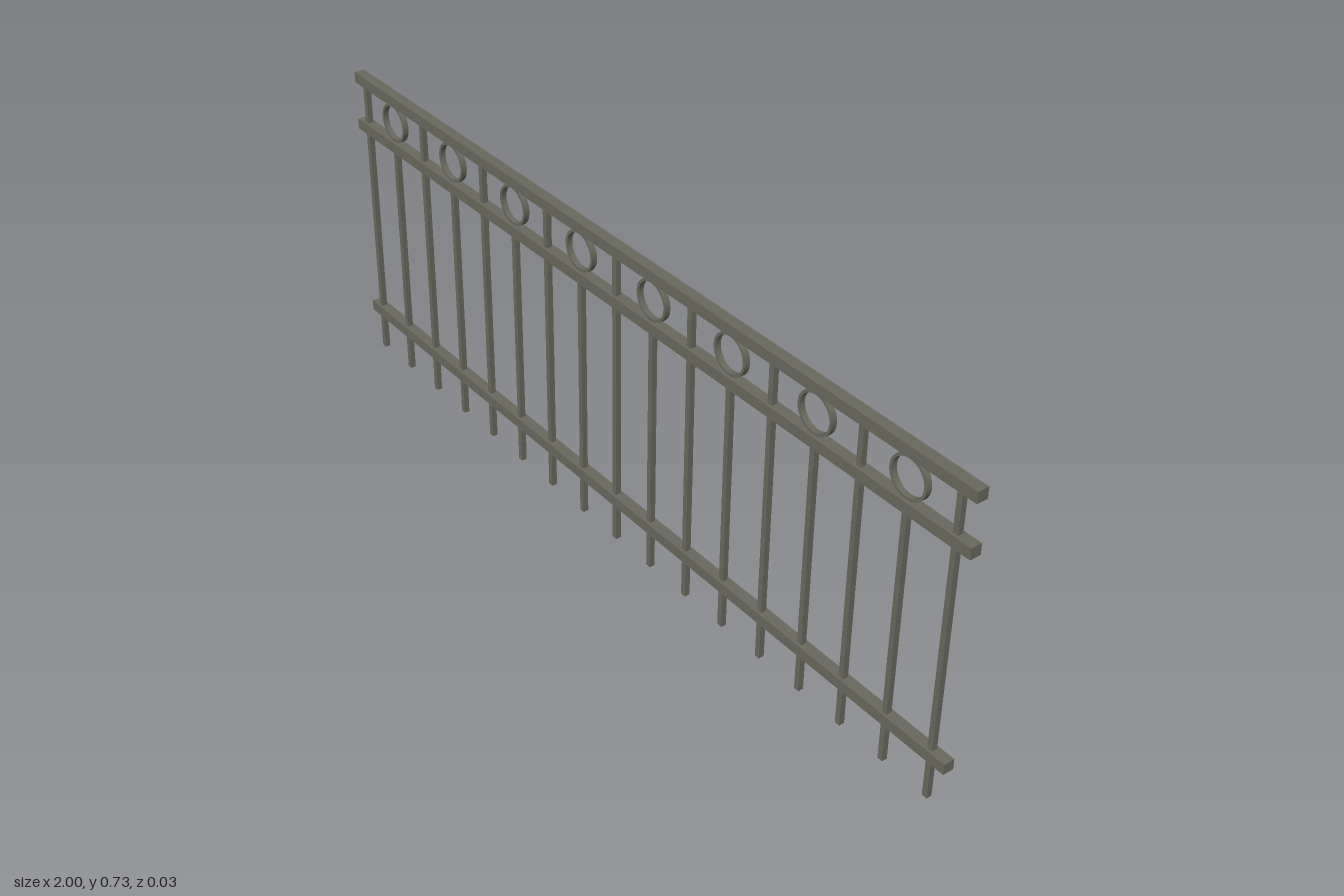
import * as THREE from 'three';

export function createModel() {
  const model = new THREE.Group();
  model.name = 'railing';
  const metal = new THREE.MeshStandardMaterial({ color: 0x68685d });
  metal.name = 'grey metal';

  const RAIL = 0.025, BAR = 0.0125;
  const TOP = 0.716, MIDDLE = 0.599, BOTTOM = 0.106;

  function add(name, geometry, x, y) {
    const mesh = new THREE.Mesh(geometry, metal);
    mesh.name = name;
    mesh.position.set(x, y, 0);
    model.add(mesh);
  }

  // Three horizontal rails
  const rail = new THREE.BoxGeometry(2, RAIL, RAIL);
  add('topRail', rail, 0, TOP);
  add('middleRail', rail, 0, MIDDLE);
  add('bottomRail', rail, 0, BOTTOM);

  // Ring that fills the gap between the upper rails
  const radius = (TOP - MIDDLE - RAIL) / 2;
  const outline = new THREE.Shape().absarc(0, 0, radius, 0, Math.PI * 2);
  outline.holes.push(new THREE.Path().absarc(0, 0, radius - 0.006, 0, Math.PI * 2, true));
  const ring = new THREE.ExtrudeGeometry(outline, { depth: BAR, bevelEnabled: false, curveSegments: 24 });
  ring.translate(0, 0, -BAR / 2);

  // Alternating full bars and short bars topped by a ring
  const longBar = new THREE.BoxGeometry(BAR, TOP, BAR);
  const shortBar = new THREE.BoxGeometry(BAR, MIDDLE, BAR);
  for (let i = 0; i < 17; i++) {
    const x = -0.969 + i * 0.1203;
    if (i % 2 === 0) {
      add('longBar', longBar, x, TOP / 2);
    } else {
      add('shortBar', shortBar, x, MIDDLE / 2);
      add('ring', ring, x, (TOP + MIDDLE) / 2);
    }
  }
  return model;
}
